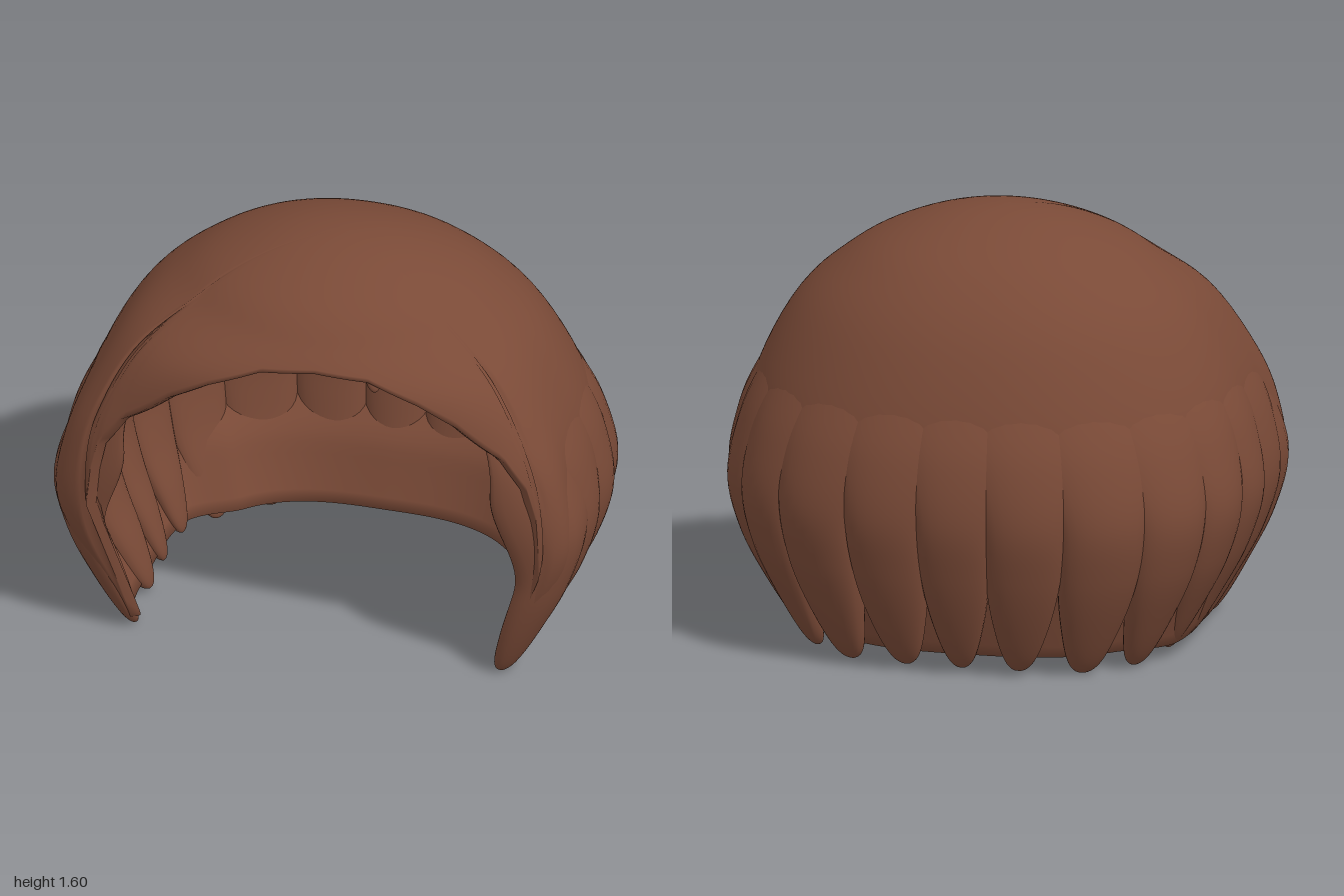
import * as THREE from 'three';

const { smoothstep, clamp, degToRad } = THREE.MathUtils;
const CROWN_Z = 0.13;

// Horizontal sections, crown to hem: height, half width, depth to front, depth to back
const SECTIONS = [
  [1.6, 0, 0, 0], [1.575, 0.22, 0.18, 0.18], [1.5, 0.43, 0.36, 0.37], [1.4, 0.59, 0.48, 0.51],
  [1.25, 0.75, 0.59, 0.635], [1.0, 0.905, 0.57, 0.77], [0.8, 0.98, 0.54, 0.85], [0.6, 1.01, 0.52, 0.88],
  [0.4, 0.96, 0.51, 0.85], [0.2, 0.87, 0.49, 0.8], [0, 0.78, 0.45, 0.74],
];

// Face opening: angle from the front in degrees, section number where the hair ends
const OPENING = [[0, 3.6], [20, 3.7], [35, 4.1], [45, 4.45], [55, 5], [59, 5.7], [60.5, 7], [61.5, 9.4], [63, 9.65]];

// Smooth interpolation between sections (mirrored through the crown)
function section(s) {
  const last = SECTIONS.length - 1;
  const i = Math.min(Math.floor(s), last - 1), t = s - i;
  const mirror = SECTIONS[1].map((v, k) => (k ? -v : v));
  const a = i ? SECTIONS[i - 1] : mirror, b = SECTIONS[i], c = SECTIONS[i + 1];
  const d = SECTIONS[Math.min(i + 2, last)];
  return b.map((v, k) => v + 0.5 * t * (c[k] - a[k]
    + t * (2 * a[k] - 5 * v + 4 * c[k] - d[k] + t * (3 * (v - c[k]) + d[k] - a[k]))));
}

// Point on the hair surface at angle phi (0 = front, + = left), moved inward by inset
function hairPoint(phi, s, inset) {
  const [y, w, front, back] = section(s);
  const sx = Math.sin(phi), cz = Math.cos(phi);
  const depth = Math.max(cz > 0 ? front : back, 1e-4), width = Math.max(w, 1e-4);
  const n = cz > 0 ? 2 + 4 * smoothstep(s, 2.8, 7.2) : 2.1 + 0.45 * smoothstep(s, 4, 9);
  let r = (Math.abs(sx / width) ** n + Math.abs(cz / depth) ** n) ** (-1 / n);
  r = Math.max(r - inset * Math.min(1, s / 4), 0);
  const x = r * sx;
  const skew = cz > 0 ? 1 - 0.1 * x : 1;
  return [x, y - inset * Math.max(0, 1 - s / 5), CROWN_Z + r * cz * skew];
}

// Smooth surface from rows of points, closed around each row
function loft(rows, cols, pointAt) {
  const pos = [], index = [];
  for (let j = 0; j <= rows; j++) {
    for (let i = 0; i < cols; i++) {
      pos.push(...pointAt(i / cols, j));
      if (j === rows) continue;
      const a = j * cols + i, b = j * cols + (i + 1) % cols;
      index.push(a, a + cols, b, b, a + cols, b + cols);
    }
  }
  const geo = new THREE.BufferGeometry();
  geo.setAttribute('position', new THREE.Float32BufferAttribute(pos, 3));
  geo.setIndex(index);
  geo.computeVertexNormals();
  return geo;
}

function hairEnd(phi) {
  const c = Math.max(Math.cos(phi), 0);
  const deg = Math.abs(phi - 0.1 * c * c) * 180 / Math.PI;
  for (let k = 1; k < OPENING.length; k++) {
    const [d0, s0] = OPENING[k - 1], [d1, s1] = OPENING[k];
    if (deg < d1) return s0 + (s1 - s0) * (deg - d0) / (d1 - d0);
  }
  return 9.65;
}

// Cap: outer layer down to the edge, then inner layer back up to the crown
function capGeometry() {
  const N = 48;
  return loft(2 * N + 1, 360, (u, j) => {
    const phi = (u * 2 - 1) * Math.PI, around = Math.abs(phi);
    const outer = j <= N;
    const s = hairEnd(phi) * (outer ? j : 2 * N + 1 - j) / N;
    const side = smoothstep(around, 1.12, 1.35), behind = smoothstep(around, 1.95, 2.3);
    const inset = 0.06 * (side * smoothstep(s, 4, 6.8) + (1 - side) * smoothstep(s, 7, 9.5))
      + 0.09 * behind * smoothstep(s, 7.6, 8.6);
    return hairPoint(phi, s, inset + (outer ? 0 : 0.035));
  });
}

// Lock: flattened tapering tube that follows the hair surface and sways towards the front
function lockGeometry(deg, start, end, halfWidth, thick, sway) {
  const N = 48, hw = degToRad(halfWidth);
  return loft(N, 28, (u, j) => {
    const t = 1 - (1 - j / N) ** 1.5;
    const s = start + (end - start) * t;
    const grow = 0.4 + 0.6 * smoothstep(t, 0.05, 0.45);
    const wide = 1 + 0.9 * (1 - smoothstep(t, 0.25, 0.65));
    const tip = j === 0 ? 0 : Math.sqrt(Math.max(0, 1 - clamp((t - 0.55) / 0.45, 0, 1) ** 2.6));
    const a = u * Math.PI * 2, sn = Math.sin(a);
    const bulge = Math.sign(sn) * Math.abs(sn) ** 0.75;
    const phi = degToRad(deg - sway * t * t) - hw * wide * tip * Math.cos(a);
    return hairPoint(phi, s, 0.01 + thick * (1 - grow * tip * bulge));
  });
}

export function createModel() {
  const group = new THREE.Group();
  group.name = 'bobWig';
  const brown = new THREE.MeshStandardMaterial({ color: 0x7a4a37 });
  brown.name = 'brownHair';
  const add = (name, geo) => {
    const mesh = new THREE.Mesh(geo, brown);
    mesh.name = name;
    group.add(mesh);
  };

  add('hairCap', capGeometry());

  // Hanging locks on both sides: angle, upper end, lower end, half width, thickness, sway
  const locks = [[71, 4.4, 9.97, 8, 0.06, 5], [84, 2.8, 9.88, 8, 0.08, 3], [97, 2.6, 9.84, 8, 0.08, 1],
    [111, 2.6, 9.78, 8.3, 0.08, 0], [126, 2.6, 9.94, 9.2, 0.08, 0], [143, 2.6, 9.95, 10.2, 0.08, 0],
    [162, 2.6, 9.86, 10.4, 0.08, 0]];
  for (const [deg, start, end, width, thick, sway] of locks) {
    const part = deg < 75 ? 'FrontLock' : deg < 120 ? 'SideLock' : 'BackLock';
    add('left' + part, lockGeometry(deg, start, end, width, thick, sway));
    add('right' + part, lockGeometry(-deg, start, end, width, thick, -sway));
  }
  add('centreBackLock', lockGeometry(180, 2.6, 9.85, 10.2, 0.08, 0));

  // Small loose tuft at the fringe edge
  add('fringeTuft', lockGeometry(27, 2.8, 3.92, 3, 0.03, 0));
  return group;
}
